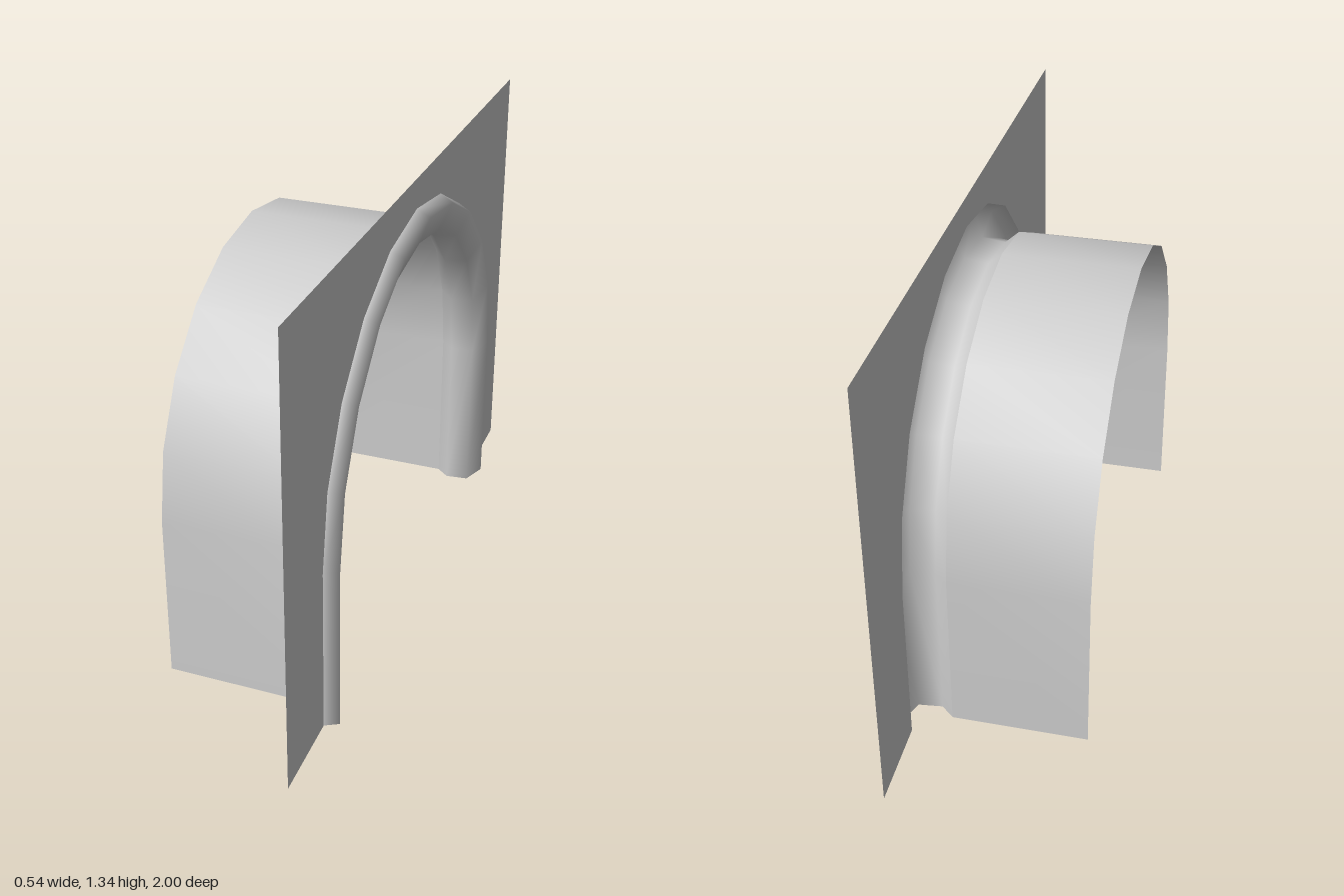
import * as THREE from 'three';

const SPRING = 0.505;   // height where the straight legs meet the arch
const SEGMENTS = 10;
const WALL_X = 0.23;

// Arch outline as [z, y] points: straight leg, half circle, straight leg
function archPath(r) {
  const points = [[r, 0]];
  for (let i = 0; i <= SEGMENTS; i++) {
    const a = (Math.PI * i) / SEGMENTS;
    points.push([r * Math.cos(a), SPRING + r * Math.sin(a)]);
  }
  points.push([-r, 0]);
  return points;
}

// Sweep a profile of [x, radius] points along the arch
function archSweep(profile) {
  const position = [], index = [];
  const count = SEGMENTS + 3;
  for (const [x, r] of profile) {
    for (const [z, y] of archPath(r)) position.push(x, y, z);
  }
  for (let j = 0; j < profile.length - 1; j++) {
    for (let i = 0; i < count - 1; i++) {
      const a = j * count + i, b = a + count;
      index.push(a, b, a + 1, b, b + 1, a + 1);
    }
  }
  const geometry = new THREE.BufferGeometry();
  geometry.setAttribute('position', new THREE.Float32BufferAttribute(position, 3));
  geometry.setIndex(index);
  geometry.computeVertexNormals();
  return geometry;
}

export function createModel() {
  const group = new THREE.Group();
  const material = new THREE.MeshStandardMaterial({ color: 0xcccccc, side: THREE.DoubleSide });
  const add = (name, geometry) => {
    const mesh = new THREE.Mesh(geometry, material);
    mesh.name = name;
    group.add(mesh);
  };

  // Vaulted passage behind the wall
  add('tunnel', archSweep([[-0.27, 0.665], [0.13, 0.665]]));

  // Rounded moulding around the opening
  add('archTrim', archSweep([
    [0.13, 0.665], [0.17, 0.63], [0.24, 0.638], [0.27, 0.718], [WALL_X, 0.74],
  ]));

  // Flat wall with the arched opening cut up from its foot
  const outline = [[1, 0], [1, 1.335], [-1, 1.335], [-1, 0], ...archPath(0.74).reverse()];
  const shape = new THREE.Shape(outline.map(([z, y]) => new THREE.Vector2(-z, y)));
  add('wall', new THREE.ShapeGeometry(shape).rotateY(Math.PI / 2).translate(WALL_X, 0, 0));

  return group;
}
